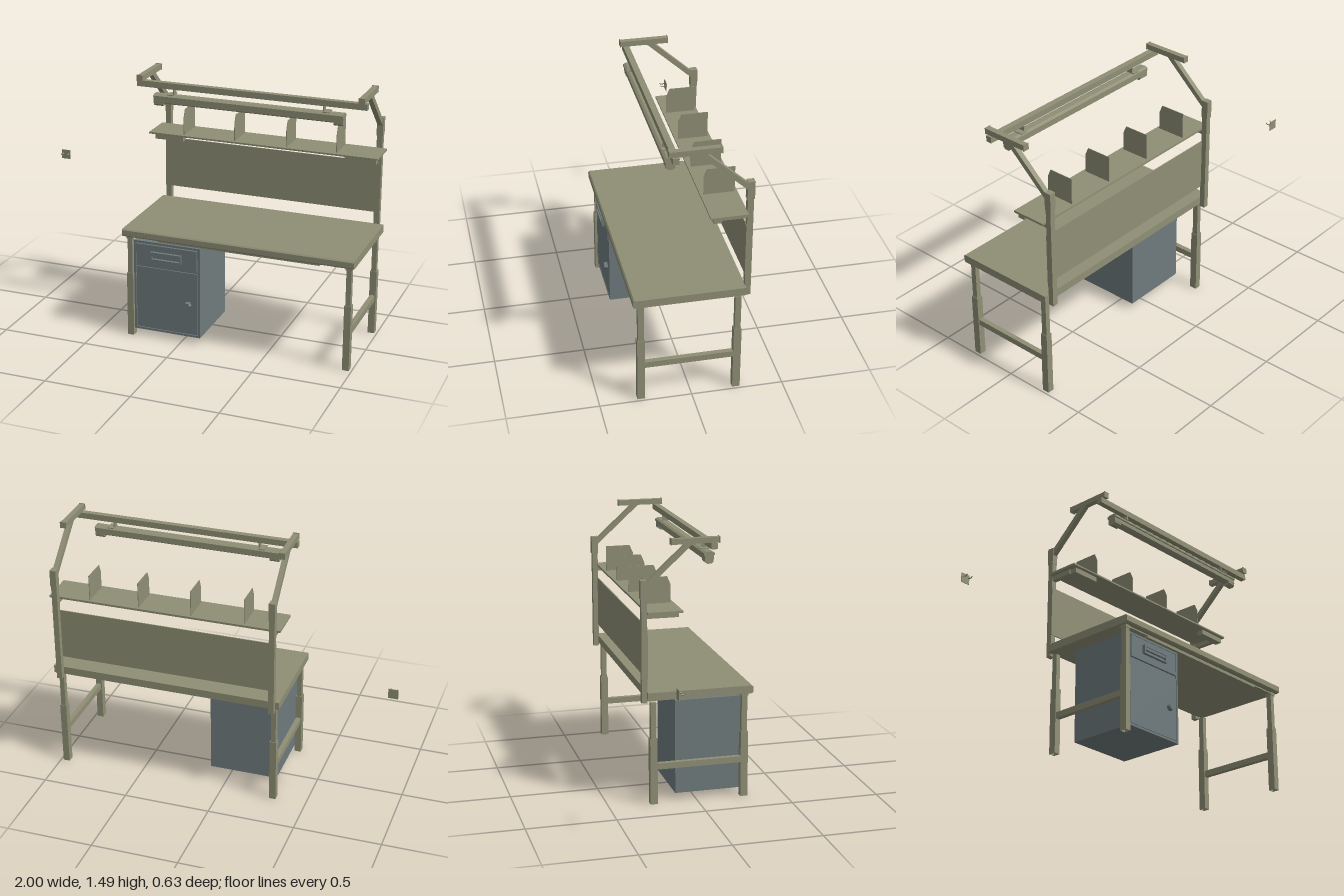
import * as THREE from 'three';

const beige = new THREE.MeshStandardMaterial({ color: 0x8f8f76, flatShading: true, side: THREE.DoubleSide });
const steel = new THREE.MeshStandardMaterial({ color: 0x6f7b7d, flatShading: true, side: THREE.DoubleSide });

export function createModel() {
  const model = new THREE.Group();
  model.name = 'workbench';

  const add = (name, geometry, material = beige) => {
    const mesh = new THREE.Mesh(geometry, material);
    mesh.name = name;
    model.add(mesh);
    return mesh;
  };
  // Box given by its limits on each axis
  const box = (name, x0, x1, y0, y1, z0, z1, material) =>
    add(name, new THREE.BoxGeometry(x1 - x0, y1 - y0, z1 - z0)
      .translate((x0 + x1) / 2, (y0 + y1) / 2, (z0 + z1) / 2), material);
  // Side profile of [z, y] points, extruded along x
  const profile = (name, points, x0, x1, material) => {
    const shape = new THREE.Shape(points.map(([z, y]) => new THREE.Vector2(-z, y)));
    const g = new THREE.ExtrudeGeometry(shape, { depth: x1 - x0, bevelEnabled: false });
    return add(name, g.rotateY(Math.PI / 2).translate(x0, 0, 0), material);
  };
  const rectangle = (Type, w, h) => new Type([[-w, -h], [w, -h], [w, h], [-w, h]]
    .map(([x, y]) => new THREE.Vector2(x / 2, y / 2)));
  // Rectangular ring extruded along z
  const ring = (w, h, wall, depth) => {
    const shape = rectangle(THREE.Shape, w, h);
    shape.holes.push(rectangle(THREE.Path, w - 2 * wall, h - 2 * wall));
    return new THREE.ExtrudeGeometry(shape, { depth, bevelEnabled: false });
  };
  // Hollow upright square tube
  const post = (name, x, z, w, d, y0, y1) =>
    add(name, ring(w, d, 0.003, y1 - y0).rotateX(-Math.PI / 2).translate(x, y0, z));

  // Worktop with softened front edge
  profile('worktop', [[-0.283, 0.605], [0.308, 0.605], [0.316, 0.613], [0.316, 0.643],
    [0.309, 0.65], [-0.283, 0.65]], -0.341, 1.0);
  box('frontRail', -0.29, 0.95, 0.597, 0.605, 0.256, 0.286);
  box('frontRailStiffener', -0.14, 0.8, 0.588, 0.597, 0.256, 0.286);

  // Telescopic legs with a rail on each side
  for (const x of [-0.306, 0.966]) {
    for (const z of [0.272, -0.248]) {
      post('legSleeve', x, z, 0.038, 0.042, 0, 0.38);
      box('legInner', x - 0.014, x + 0.014, 0.36, 0.587, z - 0.016, z + 0.016);
    }
    box('legTopPlate', x - 0.018, x + 0.018, 0.587, 0.605, 0.252, 0.292);
    box('sideRail', x - 0.014, x + 0.014, 0.2, 0.235, -0.227, 0.251);
  }

  // Rear uprights with diagonal braces and overhead arms
  for (const x of [-0.304, 0.956]) {
    box('upright', x - 0.016, x + 0.016, 0.588, 1.17, -0.313, -0.281);
    box('uprightHead', x - 0.018, x + 0.018, 1.17, 1.272, -0.317, -0.278);
    profile('diagonalBrace', [[-0.285, 1.222], [-0.024, 1.458], [-0.067, 1.458], [-0.285, 1.26]],
      x - 0.014, x + 0.014);
    box('overheadArm', x - 0.016, x + 0.016, 1.457, 1.488, -0.142, 0.122);
    for (const z of [-0.144, 0.124])
      box('armEndCap', x - 0.018, x + 0.018, 1.455, 1.491, z - 0.002, z + 0.002);
  }
  box('crossBar', -0.328, 0.983, 1.423, 1.457, 0.075, 0.109);

  // Rear panel
  box('backPanel', -0.32, 0.972, 0.72, 1.015, -0.284, -0.278);

  // Shelf, end brackets and dividers
  profile('shelf', [[-0.282, 1.087], [-0.092, 1.087], [-0.085, 1.09], [-0.085, 1.099],
    [-0.282, 1.099]], -0.342, 1.0);
  for (const [x0, x1] of [[-0.31, -0.14], [0.81, 0.988]])
    box('shelfLip', x0, x1, 1.058, 1.087, -0.145, -0.102);
  for (const x of [-0.304, 0.956])
    box('shelfBracket', x - 0.014, x + 0.014, 1.06, 1.087, -0.28, -0.145);
  for (const x of [-0.135, 0.17, 0.475, 0.763])
    profile('shelfDivider', [[-0.267, 1.099], [-0.102, 1.099], [-0.102, 1.2], [-0.122, 1.247],
      [-0.267, 1.247]], x - 0.002, x + 0.002);

  // Lamp housing, end caps and hangers
  profile('lampHousing', [[0.08, 1.337], [0.105, 1.337], [0.118, 1.345], [0.118, 1.368],
    [0.123, 1.37], [0.123, 1.382], [0.11, 1.39], [0.076, 1.39], [0.062, 1.382],
    [0.062, 1.37], [0.067, 1.368], [0.067, 1.345]], -0.225, 0.858);
  for (const x of [-0.225, 0.804])
    profile('lampEndCap', [[0.08, 1.323], [0.105, 1.323], [0.117, 1.334], [0.117, 1.37],
      [0.067, 1.37], [0.067, 1.334]], x, x + 0.054);
  for (const [x, side] of [[-0.126, 1], [0.761, -1]]) {
    box('hangerFoot', x - 0.019, x + 0.019, 1.39, 1.395, 0.06, 0.12);
    box('hangerStrap', x + side * 0.016 - 0.003, x + side * 0.016 + 0.003, 1.39, 1.425, 0.075, 0.11);
  }

  // Under-bench cabinet
  box('cabinetBody', -0.286, 0.113, 0.04, 0.58, -0.117, 0.272, steel);
  add('cabinetFrame', ring(0.399, 0.54, 0.012, 0.008).translate(-0.0865, 0.31, 0.272), steel);
  box('cabinetDoor', -0.271, 0.098, 0.055, 0.425, 0.272, 0.279, steel);
  box('drawerFront', -0.27, 0.093, 0.437, 0.563, 0.272, 0.284, steel);
  add('drawerHandleFrame', ring(0.184, 0.05, 0.009, 0.016).translate(-0.088, 0.503, 0.284), steel);
  box('drawerHandleGrip', -0.172, -0.004, 0.503, 0.52, 0.284, 0.296, steel);
  add('doorKnob', new THREE.CylinderGeometry(0.018, 0.022, 0.022, 6)
    .rotateY(Math.PI / 6).rotateX(Math.PI / 2).translate(0.04, 0.233, 0.289), steel);

  // Separate tool clip with two hooked prongs
  box('clipPlate', -1.0, -0.945, 0.8, 0.855, -0.285, -0.281);
  for (const x of [-0.988, -0.953]) {
    const path = new THREE.CatmullRomCurve3([[0.836, -0.282], [0.832, -0.268], [0.831, -0.258], [0.838, -0.249]]
      .map(([y, z]) => new THREE.Vector3(x, y, z)));
    add('clipProng', new THREE.TubeGeometry(path, 8, 0.003, 6));
  }

  return model;
}
